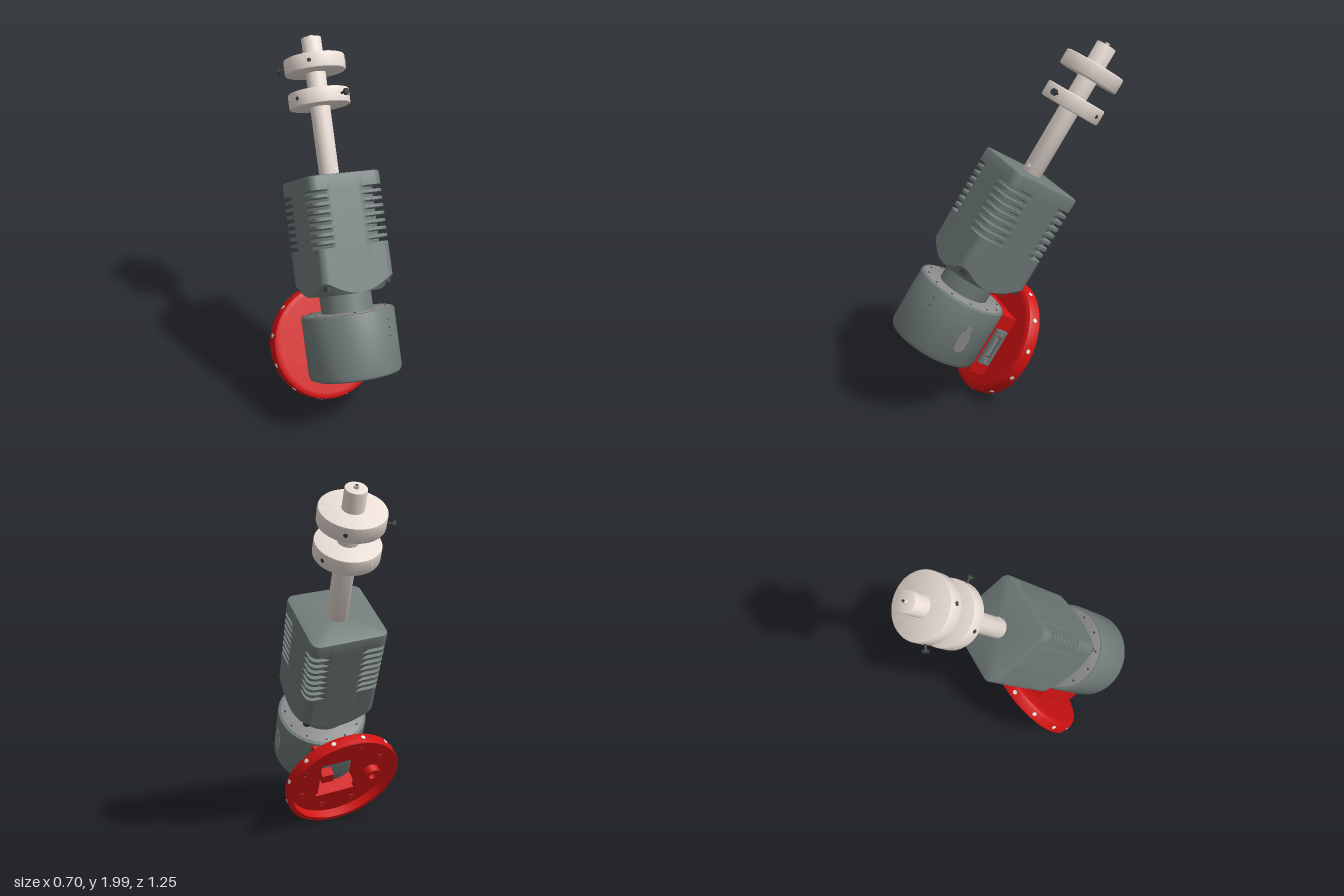
import * as THREE from 'three';
import { toCreasedNormals, mergeGeometries } from 'three/addons/utils/BufferGeometryUtils.js';

const mat = (color) => new THREE.MeshStandardMaterial({ color, side: THREE.DoubleSide });
const slate = mat(0x6f7b78), red = mat(0xd01212), cream = mat(0xeaded6);
const grey = mat(0x8c8c8c), dark = mat(0x3a4040), light = mat(0xe6e6e0);

function add(parent, name, geo, material, x = 0, y = 0, z = 0) {
  const m = new THREE.Mesh(geo, material);
  m.name = name;
  m.position.set(x, y, z);
  parent.add(m);
  return m;
}

// Solid of revolution around y with crisp edges
const lathe = (pts, seg = 64) =>
  toCreasedNormals(new THREE.LatheGeometry(pts.map(([r, y]) => new THREE.Vector2(r, y)), seg), 0.6);

// Closed disc with rounded rims
const disc = (r, y0, y1, f0, f1) => lathe([
  [0, y0], [r - f0, y0], [r - f0 * 0.3, y0 + f0 * 0.3], [r, y0 + f0],
  [r, y1 - f1], [r - f1 * 0.3, y1 - f1 * 0.3], [r - f1, y1], [0, y1]]);

// Short cylinder pointing outwards from the y axis at angle a (0 = +x, negative towards +z)
const radial = (r, len, dist, a, seg = 14) =>
  new THREE.CylinderGeometry(r, r, len, seg).rotateZ(-Math.PI / 2).translate(dist, 0, 0).rotateY(a);

function roundedSquare(h, r) {
  const s = new THREE.Shape();
  s.absarc(h - r, h - r, r, 0, Math.PI / 2);
  s.absarc(r - h, h - r, r, Math.PI / 2, Math.PI);
  s.absarc(r - h, r - h, r, Math.PI, Math.PI * 1.5);
  s.absarc(h - r, r - h, r, Math.PI * 1.5, Math.PI * 2);
  s.closePath();
  return s;
}

// Square housing: corners coned off below, vent slots cut into the vertical edges
function housingGeometry() {
  const n = 160, h = 0.215, y0 = 0.295, top = 0.94;
  const outline = roundedSquare(h, 0.045).getSpacedPoints(n).slice(0, n);
  const clampTo = (p, r) => p.clone().multiplyScalar(Math.min(1, r / p.length()));
  const full = (y) => outline.map((p) => [p.x, y, -p.y]);
  const slot = (y) => outline.map((p) => {
    const q = clampTo(p, p.x * p.y < 0 ? 0.226 : 0.243);
    return [q.x, y, -q.y];
  });
  const rings = [
    outline.map(() => [0, y0, 0]),
    outline.map((p) => { const q = clampTo(p, h); return [q.x, y0, -q.y]; }),
    outline.map((p) => [p.x, y0 + Math.max(0, p.length() - h), -p.y]),
  ];
  for (let k = 0; k < 8; k++) {
    const y = 0.55 + k * 0.041;
    rings.push(full(y), slot(y + 0.002), slot(y + 0.017), full(y + 0.024));
  }
  rings.push(full(top - 0.012),
    outline.map((p) => [p.x * 0.985, top - 0.003, -p.y * 0.985]),
    outline.map((p) => [p.x * 0.95, top, -p.y * 0.95]),
    outline.map(() => [0, top, 0]));
  const index = [];
  for (let j = 0; j < rings.length - 1; j++)
    for (let i = 0; i < n; i++) {
      const a = j * n + i, b = j * n + (i + 1) % n;
      index.push(a, b, b + n, a, b + n, a + n);
    }
  const g = new THREE.BufferGeometry();
  g.setAttribute('position', new THREE.Float32BufferAttribute(rings.flat(2), 3));
  g.setIndex(index);
  return toCreasedNormals(g, 0.5);
}

function rectPath(x0, x1, y0, y1) {
  return new THREE.Path([[x0, y0], [x0, y1], [x1, y1], [x1, y0]].map(([x, y]) => new THREE.Vector2(x, y)));
}

function buildMotor() {
  const g = new THREE.Group();
  g.name = 'motor';
  // Drum with rounded lower edge, end discs and screws
  add(g, 'drum', disc(0.26, -0.17, 0.19, 0.03, 0.012), slate);
  add(g, 'drumBottomDisc', disc(0.15, -0.173, -0.16, 0.002, 0.002), grey);
  add(g, 'drumTopDisc', disc(0.243, 0.18, 0.193, 0.002, 0.002), grey);
  for (let i = 0; i < 12; i++) {
    const a = (i + 0.5) * Math.PI / 6;
    add(g, 'drumScrew', new THREE.CylinderGeometry(0.006, 0.006, 0.006, 10), dark,
      0.22 * Math.cos(a), 0.193, 0.22 * Math.sin(a));
  }
  for (let i = 0; i < 3; i++)
    add(g, 'drumPinHole', radial(0.004, 0.004, 0.26, -1.05, 8), dark, 0, 0.04 + i * 0.045, 0);
  // Keyhole-shaped side cover
  const cover = mergeGeometries([
    new THREE.CylinderGeometry(0.034, 0.034, 0.01, 20).rotateZ(Math.PI / 2).translate(0, -0.035, 0),
    new THREE.CylinderGeometry(0.034, 0.034, 0.01, 20).rotateZ(Math.PI / 2).translate(0, 0.02, 0),
    new THREE.BoxGeometry(0.01, 0.055, 0.068).translate(0, -0.008, 0),
    new THREE.BoxGeometry(0.01, 0.06, 0.036).translate(0, 0.055, 0)]);
  add(g, 'sideCover', cover, grey, 0.257, 0, 0.012);
  // Neck and housing
  add(g, 'neck', new THREE.CylinderGeometry(0.145, 0.145, 0.14, 48), slate, 0, 0.25, 0);
  add(g, 'housing', housingGeometry(), slate);
  for (const sx of [-1, 1]) for (const sz of [-1, 1])
    add(g, 'cornerBolt', new THREE.CylinderGeometry(0.022, 0.022, 0.07, 12), dark, sx * 0.177, 0.36, sz * 0.177);
  return g;
}

function buildShaft() {
  const g = new THREE.Group();
  g.name = 'shaft';
  add(g, 'rod', disc(0.056, 0.93, 1.72, 0.002, 0.004), cream);
  add(g, 'tipRing', new THREE.CylinderGeometry(0.013, 0.013, 0.016, 16), cream, 0, 1.726, 0);
  add(g, 'tipHole', new THREE.CylinderGeometry(0.007, 0.007, 0.004, 12), dark, 0, 1.734, 0);
  add(g, 'rodPin', radial(0.011, 0.004, 0.056, -1.2), light, 0, 0.975, 0);
  // Collars, each with a thumb screw and three radial holes
  for (const [y, a] of [[1.375, -1.18], [1.565, 2.56]]) {
    const c = new THREE.Group();
    c.name = 'collar';
    c.position.y = y;
    g.add(c);
    add(c, 'collarRing', disc(0.171, -0.043, 0.043, 0.008, 0.008), cream);
    add(c, 'screwStem', radial(0.007, 0.05, 0.185, a), dark);
    add(c, 'screwHead', radial(0.02, 0.014, 0.205, a, 6), dark);
    for (let i = 1; i < 4; i++)
      add(c, 'collarHole', radial(0.011, 0.004, 0.1705, a + i * Math.PI / 2), i === 2 ? light : dark);
  }
  return g;
}

function buildFlange() {
  const g = new THREE.Group();
  g.name = 'flange';
  // Rim, open at the back
  const rim = lathe([[0.31, 0.02], [0.31, -0.04], [0.335, -0.04], [0.34, -0.035],
    [0.34, 0.018], [0.334, 0.032], [0.32, 0.04], [0.3, 0.04]], 72).rotateX(Math.PI / 2);
  add(g, 'flangeRim', rim, red);
  // Face plate with window
  const plate = new THREE.Shape().absarc(0, 0, 0.318, 0, Math.PI * 2);
  plate.holes.push(rectPath(-0.1, 0.14, -0.14, 0.13));
  add(g, 'flangePlate', new THREE.ExtrudeGeometry(plate, { depth: 0.025, bevelEnabled: false, curveSegments: 36 }), red, 0, 0, 0.0145);
  for (let i = 0; i < 12; i++)
    add(g, 'rimHole', new THREE.CylinderGeometry(0.013, 0.013, 0.004, 14).rotateZ(Math.PI / 2)
      .translate(0.34, 0, 0).rotateZ((i + 0.5) * Math.PI / 6), light);
  for (let i = 0; i < 8; i++) {
    const a = (i + 0.5) * Math.PI / 4, x = 0.25 * Math.cos(a), y = 0.25 * Math.sin(a);
    add(g, 'plateBoss', new THREE.TorusGeometry(0.014, 0.006, 8, 16), red, x, y, 0.0145);
    add(g, 'plateHole', new THREE.CircleGeometry(0.01, 12), dark, x, y, 0.013);
  }
  // Cable boss on the back of the plate
  const boss = lathe([[0.024, 0.02], [0.024, -0.03], [0.05, -0.03], [0.055, 0.02]], 28).rotateX(Math.PI / 2);
  add(g, 'cableBoss', boss, red, -0.19, -0.02, 0);
  // Saddle end walls hugging the drum, and side walls
  const saddle = new THREE.Shape();
  saddle.moveTo(-0.145, 0.03);
  saddle.lineTo(0.145, 0.03);
  for (let i = 0; i <= 12; i++) {
    const x = 0.145 - i * 0.29 / 12;
    saddle.lineTo(x, 0.362 - Math.sqrt(0.26 * 0.26 - x * x));
  }
  saddle.closePath();
  const wall = (y0, y1) => new THREE.ExtrudeGeometry(saddle, { depth: y1 - y0, bevelEnabled: false })
    .applyMatrix4(new THREE.Matrix4().set(1, 0, 0, 0, 0, 0, -1, y1, 0, 1, 0, 0, 0, 0, 0, 1));
  add(g, 'saddleLower', wall(-0.205, -0.14), red);
  add(g, 'saddleUpper', wall(0.13, 0.175), red);
  for (const s of [-1, 1])
    add(g, 'saddleSide', new THREE.BoxGeometry(0.025, 0.3, 0.115), red, s * 0.1325, -0.005, 0.09);
  add(g, 'innerTab', new THREE.BoxGeometry(0.07, 0.06, 0.06), red, 0.07, -0.02, 0.06);
  // Side connector: frame with slot and two screws
  const frame = new THREE.Shape([[-0.11, -0.035], [0.11, -0.035], [0.11, 0.035], [-0.11, 0.035]]
    .map(([x, y]) => new THREE.Vector2(x, y)));
  frame.holes.push(rectPath(-0.075, 0.075, -0.018, 0.018));
  const frameGeo = new THREE.ExtrudeGeometry(frame, { depth: 0.025, bevelEnabled: false })
    .applyMatrix4(new THREE.Matrix4().set(0, 0, 1, 0, 1, 0, 0, 0, 0, 1, 0, 0, 0, 0, 0, 1));
  add(g, 'connectorFrame', frameGeo, slate, 0.145, -0.02, 0.095);
  add(g, 'connectorCore', new THREE.BoxGeometry(0.02, 0.12, 0.016), grey, 0.15, -0.02, 0.095);
  for (const s of [-1, 1])
    add(g, 'connectorScrew', new THREE.CylinderGeometry(0.01, 0.01, 0.008, 12).rotateZ(Math.PI / 2), grey, 0.172, -0.02 + s * 0.093, 0.095);
  return g;
}

export function createModel() {
  const model = new THREE.Group();
  model.name = 'motorAssembly';
  // Whole unit leans back, then turns slightly about the flange normal
  const lean = new THREE.Group();
  lean.name = 'lean';
  lean.position.set(0, 0.315, 0.02);
  lean.rotation.x = -0.534;
  const arm = new THREE.Group();
  arm.name = 'arm';
  arm.rotation.z = -0.116;
  const drive = new THREE.Group();
  drive.name = 'drive';
  drive.position.z = 0.36;
  drive.add(buildMotor(), buildShaft());
  arm.add(buildFlange(), drive);
  lean.add(arm);
  model.add(lean);
  return model;
}
